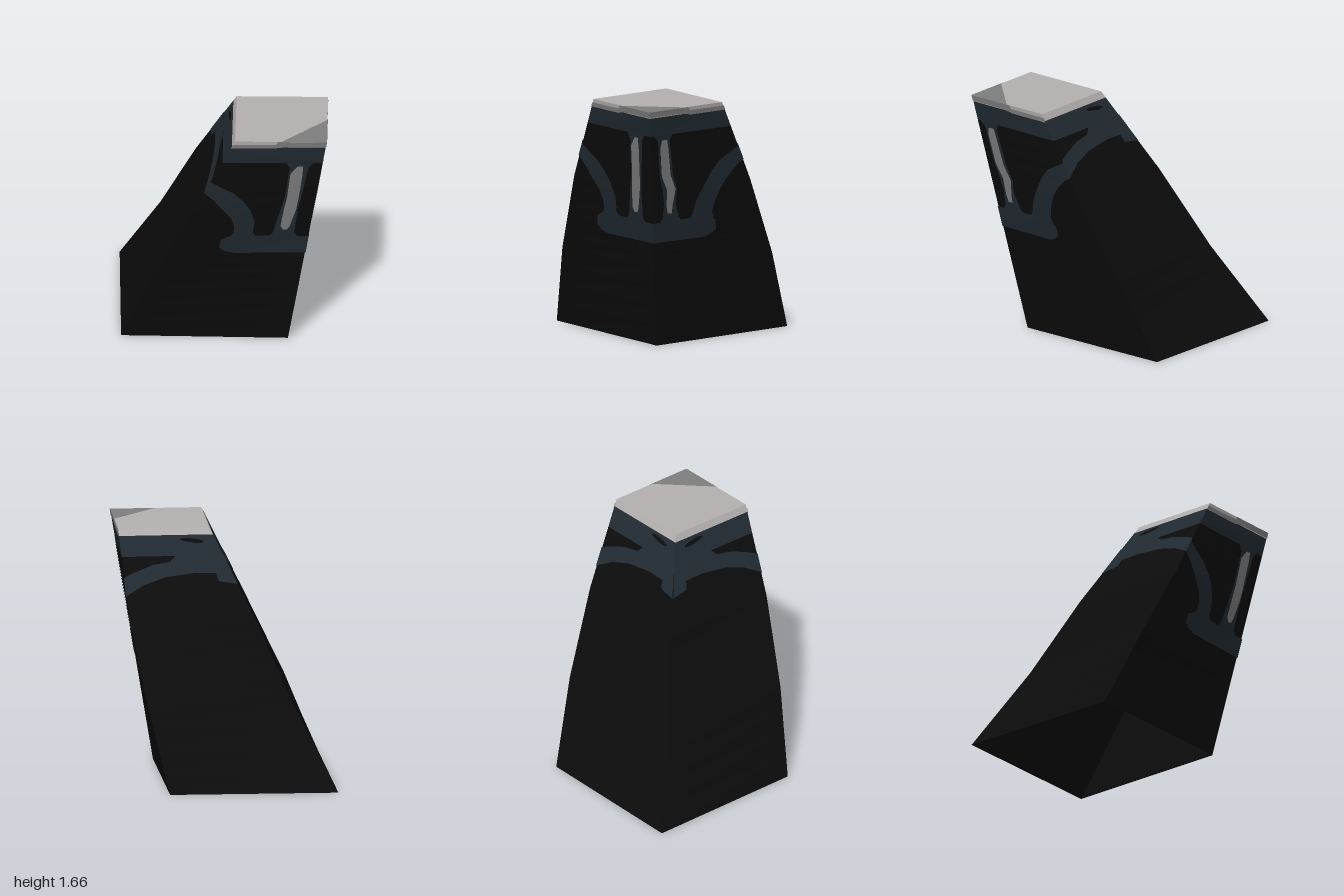
import * as THREE from 'three';

const flat = (name, color) => {
  const m = new THREE.MeshStandardMaterial({ color, side: THREE.DoubleSide });
  m.name = name;
  return m;
};

// Kite-shaped section at each height: side x, side z, front z, back z
const SECTIONS = [
  [0, 0.78, -0.18, 0.625, -1.0],
  [0.55, 0.71, 0.07, 0.749, -0.605],
  [1.1, 0.595, 0.33, 0.873, -0.265],
  [1.665, 0.435, 0.565, 1.0, 0.13],
];
const TOP = 1.665;

function section(y) {
  let i = 0;
  while (i < 2 && y > SECTIONS[i + 1][0]) i++;
  const a = SECTIONS[i], b = SECTIONS[i + 1];
  const t = (y - a[0]) / (b[0] - a[0]);
  const [xs, zs, zf, zb] = [1, 2, 3, 4].map(k => a[k] + (b[k] - a[k]) * t);
  return { xs, zs, zf, zb };
}

// Push a surface point slightly outwards; layers stack painted details
const lift = (x, y, z, zs, layer) => {
  const k = 1 + 0.009 * layer;
  return [x * k, y, zs + (z - zs) * k];
};

// Point on the front walls from x and y
const onFront = layer => (x, y) => {
  const { xs, zs, zf } = section(y);
  const cx = Math.max(-xs, Math.min(xs, x));
  return lift(cx, y, zf + (zs - zf) * Math.abs(cx) / xs, zs, layer);
};

// Point on a back wall from z and y
const onBack = (side, layer) => (z, y) => {
  const { xs, zs, zb } = section(y);
  const t = Math.max(0, Math.min(1, (z - zb) / (zs - zb)));
  return lift(side * xs * t, y, zb + (zs - zb) * t, zs, layer);
};

function triangles(name, points, material) {
  const g = new THREE.BufferGeometry();
  g.setAttribute('position', new THREE.Float32BufferAttribute(points.flat(), 3));
  g.computeVertexNormals();
  const mesh = new THREE.Mesh(g, material);
  mesh.name = name;
  return mesh;
}

// Ribbon between rows of two ends: [a, ya, b, yb], laid on a wall; outside faces out
function ribbon(name, rows, place, material) {
  const pts = [];
  for (let i = 0; i < rows.length - 1; i++) {
    const [a, ya, b, yb] = rows[i], [c, yc, d, yd] = rows[i + 1];
    const A = place(a, ya), B = place(b, yb), C = place(c, yc), D = place(d, yd);
    pts.push(A, B, D, A, D, C);
  }
  return triangles(name, pts, material);
}

// Walls between a list of heights
function walls(name, levels, material) {
  const pts = [];
  const ring = y => {
    const { xs, zs, zf, zb } = section(y);
    return [[0, y, zf], [xs, y, zs], [0, y, zb], [-xs, y, zs]];
  };
  for (let i = 0; i < levels.length - 1; i++) {
    const lo = ring(levels[i]), hi = ring(levels[i + 1]);
    for (let k = 0; k < 4; k++) {
      const n = (k + 1) % 4;
      pts.push(lo[k], lo[n], hi[n], lo[k], hi[n], hi[k]);
    }
  }
  return triangles(name, pts, material);
}

export function createModel() {
  const black = flat('black', 0x0c0c0c);
  const navy = flat('dark slate', 0x212b32);
  const grey = flat('grey', 0x808080);
  const pale = flat('pale grey', 0xb6b1b1);
  const model = new THREE.Group();
  model.name = 'taperedTower';

  // Hollow shell, open at the bottom
  model.add(
    walls('body', [0, 0.14, 0.28, 0.42, 0.55, 0.64, 0.73, 0.8, 0.87, 1.0, 1.1, 1.2, 1.3, 1.4, 1.49], black),
    walls('upperBand', [1.49, 1.62], navy),
    walls('rim', [1.62, TOP], pale),
  );

  // Flat top with a grey front tip
  const { xs, zs, zf, zb } = section(TOP);
  const tz = 0.785, tx = xs * (zf - tz) / (zf - zs);
  const L = [-xs, TOP, zs], R = [xs, TOP, zs], l = [-tx, TOP, tz], r = [tx, TOP, tz];
  model.add(
    triangles('topPlate', [R, [0, TOP, zb], L, L, l, r, L, r, R], pale),
    triangles('topTip', [l, [0, TOP, zf], r], grey),
  );

  // Grey lower part of the rim at the front
  const front = onFront(1), front2 = onFront(2);
  model.add(ribbon('rimFront', [
    [-0.45, 1.61, -0.45, 1.64], [-0.24, 1.61, -0.24, 1.642], [-0.23, 1.615, -0.23, TOP],
    [-0.17, 1.625, -0.17, TOP], [0, 1.625, 0, TOP], [0.17, 1.625, 0.17, TOP],
    [0.23, 1.615, 0.23, TOP], [0.24, 1.61, 0.24, 1.642], [0.45, 1.61, 0.45, 1.64],
  ], front, grey));

  // Crossbar wrapping the front edge
  model.add(ribbon('crossbar', [
    [-0.425, 0.78, -0.425, 0.84], [-0.4, 0.75, -0.4, 0.865], [-0.35, 0.73, -0.35, 0.88],
    [0, 0.73, 0, 0.87], [0.31, 0.73, 0.31, 0.88], [0.35, 0.75, 0.35, 0.865], [0.375, 0.78, 0.375, 0.84],
  ], front, navy));

  // Horizontal rows [y, x0, x1]
  const rows = list => list.map(([y, a, b]) => [a, y, b, y]);
  model.add(
    ribbon('rightPost', rows([[0.86, -0.205, -0.05], [0.9, -0.18, -0.075], [1.1, -0.165, -0.08],
      [1.2, -0.155, -0.075], [1.45, -0.155, -0.065], [1.495, -0.18, -0.045]]), front, navy),
    ribbon('leftPost', rows([[0.86, 0.035, 0.18], [0.9, 0.06, 0.155], [1.0, 0.07, 0.14], [1.1, 0.065, 0.15],
      [1.2, 0.05, 0.13], [1.45, 0.045, 0.115], [1.495, 0.02, 0.135]]), front, navy),
    ribbon('rightPostInlay', rows([[0.93, -0.135, -0.115], [0.96, -0.15, -0.105], [1.1, -0.15, -0.09],
      [1.2, -0.145, -0.088], [1.4, -0.148, -0.09], [1.465, -0.12, -0.095]]), front2, grey),
    ribbon('leftPostInlay', rows([[0.93, 0.09, 0.115], [0.98, 0.085, 0.12], [1.1, 0.09, 0.142],
      [1.2, 0.062, 0.115], [1.4, 0.058, 0.105], [1.455, 0.07, 0.1]]), front2, grey),
  );

  // Curved arms rising to the side edges
  model.add(
    ribbon('rightArm', [
      [-0.39, 0.86, -0.25, 0.86], [-0.37, 0.9, -0.275, 0.9], [-0.375, 0.96, -0.28, 1.0],
      [-0.4, 1.03, -0.315, 1.1], [-0.455, 1.11, -0.355, 1.17], [-0.5, 1.18, -0.41, 1.24],
      [-0.56, 1.245, -0.47, 1.285], [-0.56, 1.25, -0.53, 1.335],
    ], front, navy),
    ribbon('leftArm', [
      [0.21, 0.86, 0.365, 0.86], [0.235, 0.9, 0.355, 0.9], [0.265, 1.0, 0.375, 0.98],
      [0.315, 1.1, 0.425, 1.09], [0.355, 1.18, 0.47, 1.16], [0.405, 1.255, 0.515, 1.215],
      [0.46, 1.3, 0.56, 1.245], [0.53, 1.345, 0.56, 1.25],
    ], front, navy),
  );

  // Arms continued round the back, with a tail on the back edge
  for (const [side, word] of [[1, 'left'], [-1, 'right']]) {
    const back = onBack(side, 1);
    model.add(
      ribbon(word + 'BackArm', [
        [0.6, 1.245, 0.6, 1.36], [0.4, 1.245, 0.41, 1.385], [0.327, 1.314, 0.327, 1.437],
        [0.26, 1.35, 0.25, 1.455], [0.24, 1.36, 0.235, 1.495], [0.11, 1.383, 0.11, 1.495],
        [0.01, 1.38, 0.03, 1.495], [-0.02, 1.33, 0.0, 1.495], [-0.115, 1.31, 0.01, 1.495],
      ], back, navy),
      ribbon(word + 'BackSpot', [
        [0.245, 1.59, 0.245, 1.6], [0.22, 1.58, 0.22, 1.602], [0.16, 1.568, 0.16, 1.592], [0.13, 1.57, 0.13, 1.58],
      ], back, black),
    );
  }
  return model;
}
